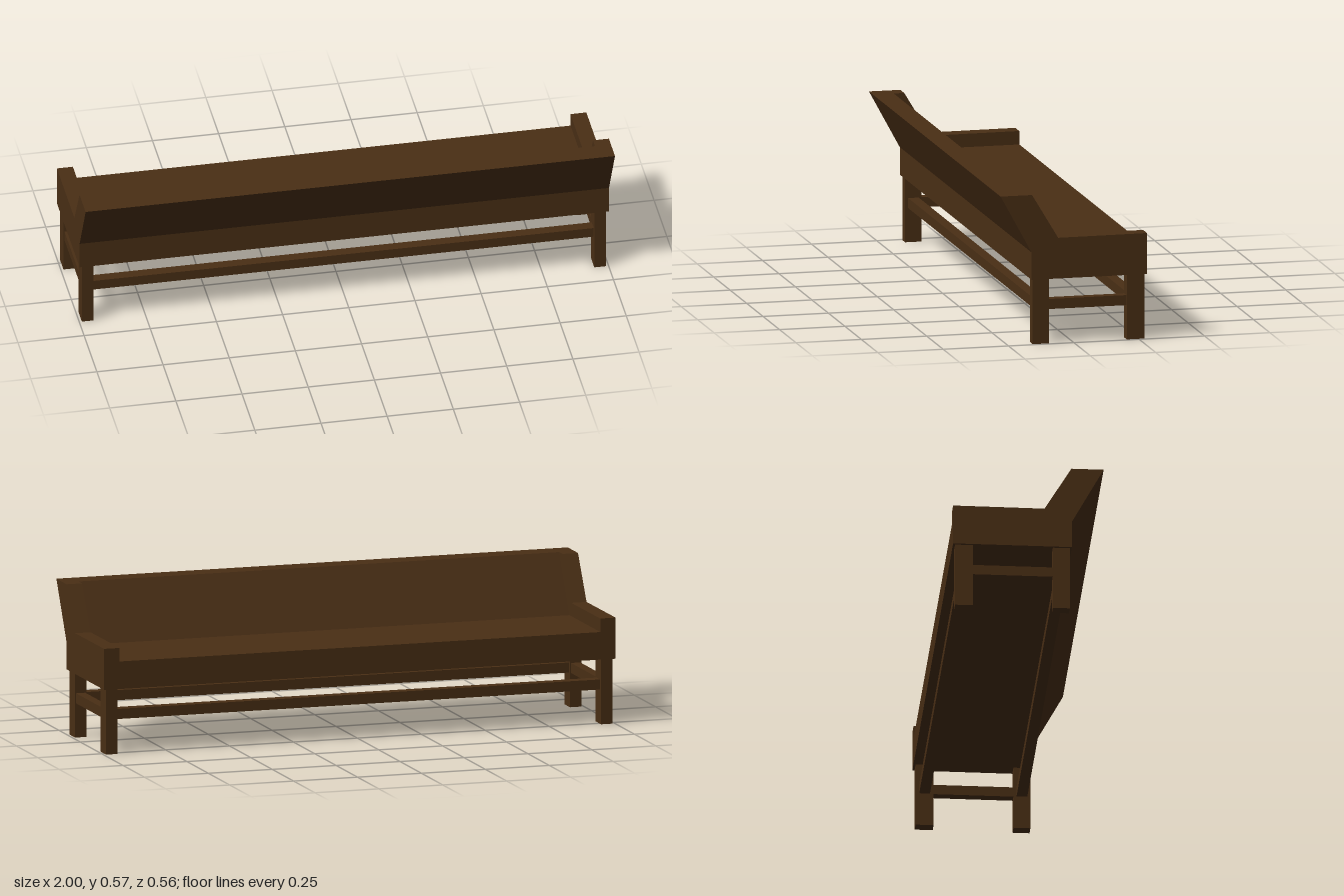
import * as THREE from 'three';

export function createModel() {
  const model = new THREE.Group();
  model.name = 'bench';
  const wood = new THREE.MeshStandardMaterial({ color: 0x4a2f15, flatShading: true });

  const add = (name, geometry) => {
    const mesh = new THREE.Mesh(geometry, wood);
    mesh.name = name;
    model.add(mesh);
  };

  // Box given by its limits on each axis
  const box = (name, [x0, x1], [y0, y1], [z0, z1]) => {
    const g = new THREE.BoxGeometry(x1 - x0, y1 - y0, z1 - z0);
    g.translate((x0 + x1) / 2, (y0 + y1) / 2, (z0 + z1) / 2);
    add(name, g);
  };

  // Side outline of (z, y) points, extruded along x from x0 to x1
  const slab = (name, points, x0, x1) => {
    const shape = new THREE.Shape(points.map(([z, y]) => new THREE.Vector2(-z, y)));
    const g = new THREE.ExtrudeGeometry(shape, { depth: x1 - x0, bevelEnabled: false });
    g.rotateY(Math.PI / 2);
    g.translate(x0, 0, 0);
    add(name, g);
  };

  // Seat and sloping backrest in one run between the ends
  slab('seatAndBackrest', [
    [-0.28, 0.246], [-0.28, 0.35], [0.08, 0.35], [0.2, 0.567],
    [0.28, 0.567], [0.162, 0.35], [0.162, 0.246],
  ], -0.94, 0.94);

  // Raised end panels
  const endOutline = [
    [-0.28, 0.246], [-0.28, 0.401], [0.06, 0.4], [0.16, 0.567],
    [0.28, 0.567], [0.162, 0.35], [0.162, 0.246],
  ];
  slab('leftEndPanel', endOutline, 0.94, 1);
  slab('rightEndPanel', endOutline, -1, -0.94);

  // Legs and the short rails joining each pair
  const legZ = { seatSide: [-0.272, -0.205], backrestSide: [0.092, 0.155] };
  const railY = [0.129, 0.167];
  for (const [side, s] of [['left', 1], ['right', -1]]) {
    const span = (a, b) => (s > 0 ? [a, b] : [-b, -a]);
    for (const [place, z] of Object.entries(legZ)) {
      box(`${side}Leg_${place}`, span(0.946, 0.99), [0, 0.246], z);
    }
    box(`${side}EndRail`, span(0.95, 0.986), railY, [-0.205, 0.092]);
  }

  // Long rails between the two ends
  for (const [place, z] of Object.entries(legZ)) {
    const mid = (z[0] + z[1]) / 2;
    box(`longRail_${place}`, [-0.946, 0.946], railY, [mid - 0.02, mid + 0.02]);
  }

  return model;
}
